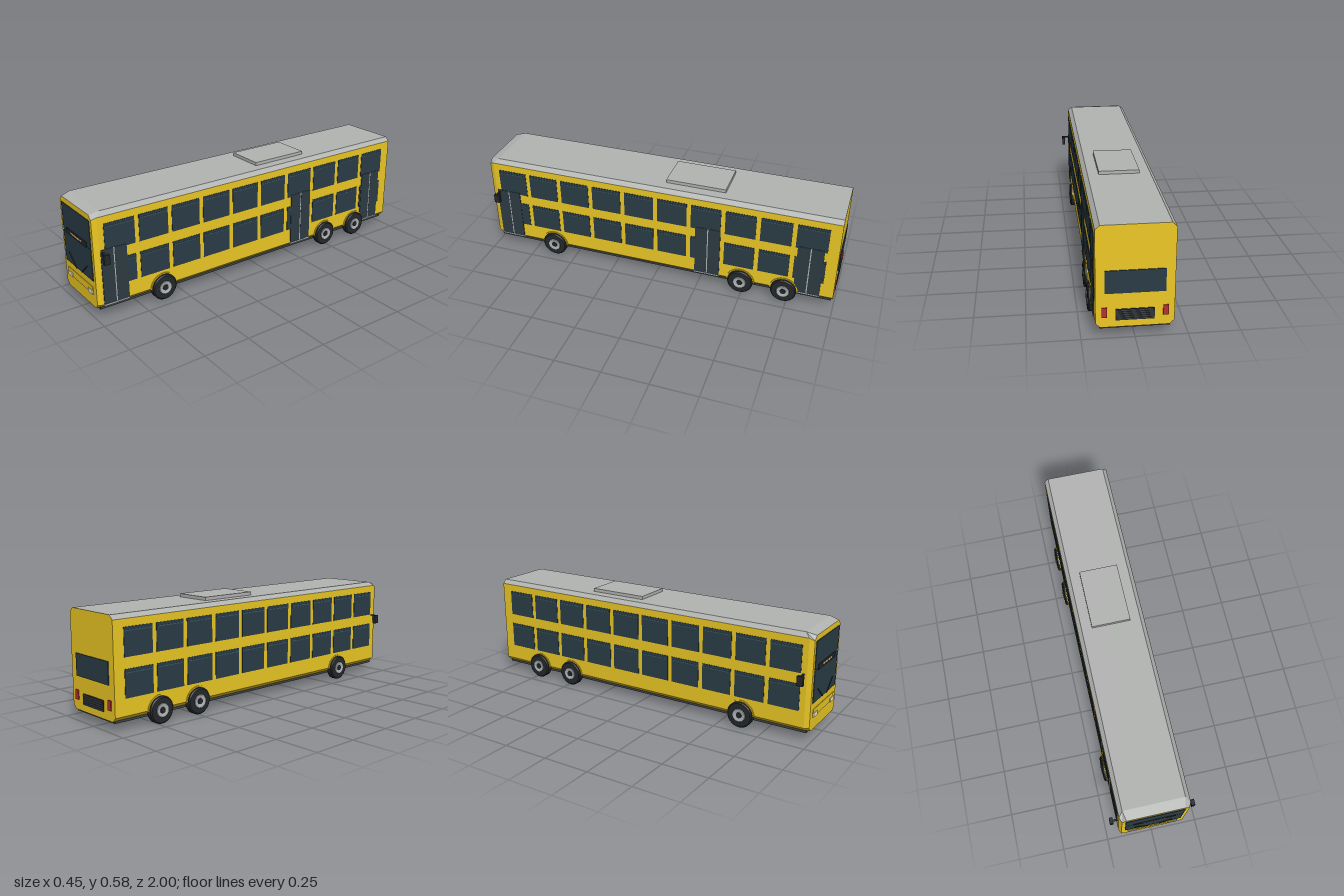
import * as THREE from 'three';

const mat = (color, extra = {}) => new THREE.MeshStandardMaterial({ color, flatShading: true, ...extra });
const M = {
  paint: mat(0xecc824), roof: mat(0xb2b4b2), glass: mat(0x2a3c46), strip: mat(0x3c5a66),
  door: mat(0x2e3b43), dark: mat(0x24282c), under: mat(0x3c4246), metal: mat(0xb0b4b4),
  lamp: mat(0xf6e8c4), amber: mat(0xffc070), red: mat(0xb83030),
};

function add(parent, name, geometry, material, x = 0, y = 0, z = 0) {
  const mesh = new THREE.Mesh(geometry, material);
  mesh.name = name;
  mesh.position.set(x, y, z);
  parent.add(mesh);
  return mesh;
}

// Box given by its extents on each axis
function box(parent, name, material, [x0, x1], [y0, y1], [z0, z1]) {
  return add(parent, name, new THREE.BoxGeometry(x1 - x0, y1 - y0, z1 - z0), material,
    (x0 + x1) / 2, (y0 + y1) / 2, (z0 + z1) / 2);
}

// Octagonal cross-section, counter-clockwise seen from the front
function section(w, top, z, zTop = z) {
  const b = 0.055, c = 0.022;
  return [
    [-w + c, b, z], [w - c, b, z], [w, b + c, z], [w, top - c, z],
    [w - c, top, zTop], [-w + c, top, zTop], [-w, top - c, z], [-w, b + c, z],
  ];
}

// Shell between cross-sections for the chosen edges, with optional end caps
function shell(sections, edges, caps) {
  const p = [];
  for (let s = 0; s < sections.length - 1; s++) {
    const A = sections[s], B = sections[s + 1];
    for (const i of edges) {
      const j = (i + 1) % 8;
      p.push(...A[i], ...A[j], ...B[j], ...A[i], ...B[j], ...B[i]);
    }
  }
  if (caps) {
    const A = sections[0], B = sections[sections.length - 1];
    for (let i = 1; i < 7; i++) p.push(...A[0], ...A[i + 1], ...A[i], ...B[0], ...B[i], ...B[i + 1]);
  }
  const g = new THREE.BufferGeometry();
  g.setAttribute('position', new THREE.Float32BufferAttribute(p, 3));
  g.computeVertexNormals();
  return g;
}

function wheel(z, side) {
  const g = new THREE.Group();
  g.name = 'wheel';
  g.position.set(0, 0.07, z);
  if (side < 0) g.rotation.y = Math.PI;
  const turned = (name, pts, material) => {
    const m = add(g, name, new THREE.LatheGeometry(pts.map(([r, x]) => new THREE.Vector2(r, x)), 28), material);
    m.rotation.z = -Math.PI / 2;
  };
  turned('tyre', [[0, 0.167], [0.07, 0.167], [0.07, 0.194], [0.064, 0.2], [0.036, 0.201]], M.dark);
  turned('rim', [[0.036, 0.201], [0.034, 0.204], [0.03, 0.204], [0.014, 0.201]], M.metal);
  turned('hub', [[0.016, 0.2], [0.015, 0.205], [0, 0.205]], M.dark);
  // Thin painted arch above the wheel
  const s = new THREE.Shape();
  s.absarc(0, 0, 0.078, 0, Math.PI, false);
  s.absarc(0, 0, 0.071, Math.PI, 0, true);
  const arch = add(g, 'wheelArch', new THREE.ExtrudeGeometry(s, { depth: 0.012, bevelEnabled: false, curveSegments: 20 }),
    M.paint, 0.175);
  arch.rotation.y = Math.PI / 2;
  return g;
}

export function createModel() {
  const bus = new THREE.Group();
  bus.name = 'doubleDeckBus';

  // Body, roof and underside
  const sections = [section(0.183, 0.567, -0.995), section(0.183, 0.567, 0.967, 0.94), section(0.172, 0.555, 0.992)];
  add(bus, 'body', shell(sections, [0, 1, 2, 6, 7], true), M.paint);
  add(bus, 'roof', shell(sections, [3, 4, 5], false), M.roof);
  box(bus, 'underbody', M.under, [-0.164, 0.164], [0.045, 0.065], [-0.985, 0.975]);
  box(bus, 'roofUnit', M.roof, [-0.105, 0.105], [0.56, 0.585], [-0.367, -0.037]);

  // Two rows of side windows
  for (const side of [1, -1]) {
    for (let i = 0; i < 10; i++) {
      const z = 0.853 - i * 0.1895;
      for (const [y0, y1] of [[0.362, 0.506], [0.163, 0.305]]) {
        const w = add(bus, 'sideWindow', new THREE.BoxGeometry(0.006, y1 - y0, 0.166), M.glass,
          side * 0.182, (y0 + y1) / 2, z);
        add(w, 'windowVent', new THREE.BoxGeometry(0.003, 0.005, 0.158), M.strip, side * 0.003, (y1 - y0) / 2 - 0.018, 0);
      }
    }
  }

  // Double-leaf doors on the left side
  for (const z of [0.89, -0.298, -0.852]) {
    const door = new THREE.Group();
    door.name = 'door';
    door.position.z = z;
    bus.add(door);
    for (const [z0, z1] of [[-0.07, -0.003], [0.003, 0.07]])
      box(door, 'doorLeaf', M.door, [0.178, 0.187], [0.078, 0.373], [z0, z1]);
    box(door, 'doorDivider', M.metal, [0.178, 0.1865], [0.078, 0.373], [-0.003, 0.003]);
    box(door, 'doorSill', M.metal, [0.172, 0.188], [0.069, 0.078], [-0.072, 0.072]);
  }

  // Wheels
  for (const z of [0.62, -0.49, -0.73]) for (const side of [1, -1]) bus.add(wheel(z, side));

  // Windscreens and destination display
  box(bus, 'upperWindscreen', M.glass, [-0.153, 0.153], [0.378, 0.526], [0.985, 0.995]);
  box(bus, 'lowerWindscreen', M.glass, [-0.153, 0.153], [0.203, 0.373], [0.985, 0.995]);
  box(bus, 'destinationDisplay', M.dark, [-0.112, 0.112], [0.369, 0.399], [0.985, 0.998]);
  for (let i = -3; i <= 3; i++)
    box(bus, 'displayLight', M.amber, [i * 0.0174 - 0.0065, i * 0.0174 + 0.0065], [0.38, 0.389], [0.99, 0.9995]);

  // Front panel, headlamps, wipers and mirrors
  box(bus, 'frontPanel', M.paint, [-0.138, 0.138], [0.126, 0.167], [0.985, 0.995]);
  for (const s of [1, -1]) {
    add(bus, 'headlamp', new THREE.BoxGeometry(0.048, 0.022, 0.014), M.lamp, s * 0.114, 0.136, 0.992);
    const wiper = add(bus, 'wiper', new THREE.BoxGeometry(0.096, 0.004, 0.004), M.dark, s * 0.064, 0.234, 0.997);
    wiper.rotation.z = s * Math.atan2(0.062, 0.072);
    add(bus, 'mirrorArm', new THREE.BoxGeometry(0.05, 0.007, 0.01), M.dark, s * 0.202, 0.358, 0.95);
    add(bus, 'mirror', new THREE.BoxGeometry(0.018, 0.05, 0.032), M.dark, s * 0.218, 0.335, 0.948);
  }

  // Rear window, lamps and engine grille
  box(bus, 'rearWindow', M.glass, [-0.14, 0.14], [0.23, 0.345], [-0.999, -0.985]);
  for (const s of [1, -1])
    add(bus, 'tailLamp', new THREE.BoxGeometry(0.026, 0.05, 0.014), M.red, s * 0.142, 0.133, -0.993);
  box(bus, 'engineGrille', M.dark, [-0.09, 0.09], [0.09, 0.148], [-0.998, -0.985]);
  for (let i = 0; i < 5; i++)
    box(bus, 'grilleSlat', M.under, [-0.088, 0.088], [0.095 + i * 0.0108, 0.1 + i * 0.0108], [-1, -0.99]);

  return bus;
}
